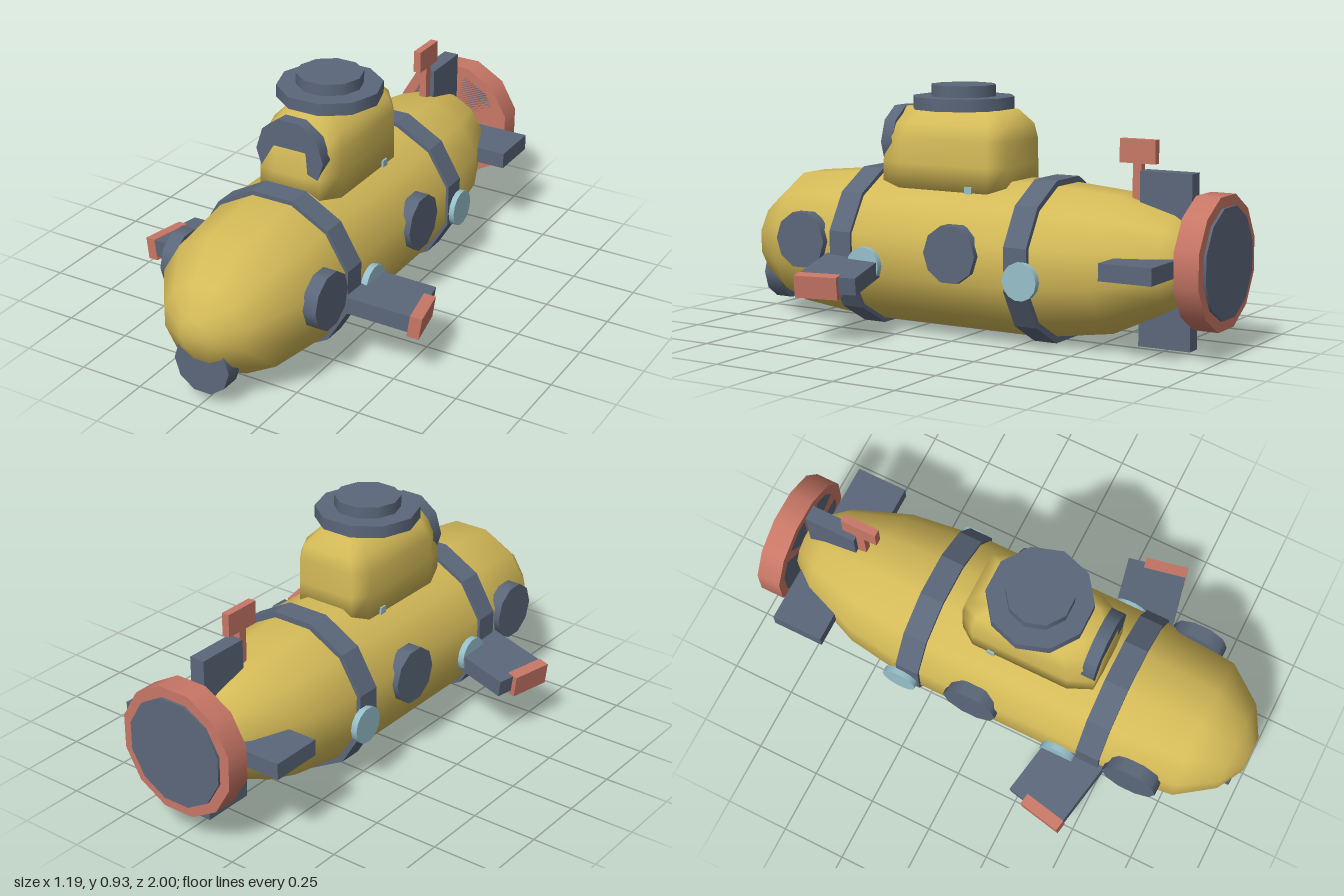
import * as THREE from 'three';

const mat = (name, color) => {
  const m = new THREE.MeshStandardMaterial({ color });
  m.name = name;
  return m;
};

// Closed smooth skin over a list of rings (each an array of [x, y, z])
function loft(rings) {
  const n = rings[0].length, pos = [], idx = [];
  for (const r of rings) for (const p of r) pos.push(...p);
  for (let i = 0; i < rings.length - 1; i++) {
    for (let j = 0; j < n; j++) {
      const a = i * n + j, b = i * n + (j + 1) % n;
      idx.push(a, b, b + n, a, b + n, a + n);
    }
  }
  [0, rings.length - 1].forEach((ri) => {
    const c = pos.length / 3;
    pos.push(...[0, 1, 2].map((k) => rings[ri].reduce((s, p) => s + p[k], 0) / n));
    for (let j = 0; j < n; j++) {
      const a = ri * n + j, b = ri * n + (j + 1) % n;
      if (ri === 0) idx.push(c, b, a); else idx.push(c, a, b);
    }
  });
  const g = new THREE.BufferGeometry();
  g.setAttribute('position', new THREE.Float32BufferAttribute(pos, 3));
  g.setIndex(idx);
  g.computeVertexNormals();
  return g;
}

export function createModel() {
  const model = new THREE.Group();
  model.name = 'submarine';
  const yellow = mat('hull yellow', 0xd4ba58);
  const grey = mat('slate grey', 0x5b677a);
  const red = mat('coral red', 0xc87766);
  const blue = mat('pale blue', 0x96bfca);

  const add = (name, geo, material, x = 0, y = 0, z = 0) => {
    const m = new THREE.Mesh(geo, material);
    m.name = name;
    m.position.set(x, y, z);
    model.add(m);
    return m;
  };
  const box = (name, material, w, h, d, x, y, z) =>
    add(name, new THREE.BoxGeometry(w, h, d), material, x, y, z);
  // Upright, sideways ('x') or forward-facing ('z') disc
  const disc = (name, material, r, t, sides, axis, x, y, z) => {
    const g = new THREE.CylinderGeometry(r, r, t, sides);
    g.rotateY(Math.PI / sides);
    if (axis === 'x') g.rotateZ(Math.PI / 2).rotateX(Math.PI / 2);
    if (axis === 'z') g.rotateX(Math.PI / 2);
    return add(name, g, material, x, y, z);
  };

  // Hull: twelve-sided sections as [z, centre y, half width, half height]
  const oval = ([z, cy, hw, hh]) => Array.from({ length: 12 }, (_, i) => {
    const a = (i + 0.5) * Math.PI / 6, k = Math.cos(Math.PI / 12);
    return [Math.cos(a) * hw / k, cy + Math.sin(a) * hh / k, z];
  });
  add('hull', loft([
    [-0.9, 0.345, 0.1, 0.095], [-0.8, 0.333, 0.18, 0.17], [-0.58, 0.312, 0.265, 0.253],
    [-0.3, 0.303, 0.302, 0.284], [0.5, 0.304, 0.302, 0.285], [0.8, 0.305, 0.267, 0.255],
    [0.94, 0.29, 0.17, 0.16], [1, 0.278, 0.066, 0.064],
  ].map(oval)), yellow);

  // Reinforcing bands
  for (const z of [0.457, -0.305]) {
    add('hullBand', loft([z - 0.047, z + 0.047].map((e) => oval([e, 0.303, 0.313, 0.302])))
      .toNonIndexed(), grey).geometry.computeVertexNormals();
  }

  // Tower: sections as [y, half width, front z, back z, front corner setback]
  add('tower', loft([
    [0.54, 0.16, 0.39, -0.158, 0.006], [0.64, 0.16, 0.39, -0.157, 0.006],
    [0.735, 0.16, 0.386, -0.155, 0.03], [0.79, 0.14, 0.36, -0.148, 0.03],
    [0.845, 0.09, 0.335, -0.1, 0.03],
  ].map(([y, w, f, b, s]) => {
    const half = [[0.4 * w, f], [0.78 * w, f - s], [w, f - 0.1], [w, b + 0.06], [0.75 * w, b]];
    return [...half.map(([x, z]) => [x, y, z]),
      ...half.reverse().map(([x, z]) => [-x, y, z])];
  })), yellow);
  disc('hatchRim', grey, 0.197, 0.047, 10, 'y', 0, 0.867, 0.1);
  disc('hatchLid', grey, 0.125, 0.045, 10, 'y', 0, 0.912, 0.1);

  // Forward windows, half sunk into the tower and the nose
  disc('towerWindow', grey, 0.14, 0.05, 10, 'z', 0, 0.712, 0.359);
  disc('noseWindow', grey, 0.113, 0.075, 10, 'z', 0, 0.153, 0.933);

  for (const s of [1, -1]) {
    // Side portholes and lamps
    for (const z of [0.635, -0.035]) {
      disc('porthole', grey, 0.11, 0.055, 10, 'x', s * 0.298, 0.338, z);
    }
    for (const z of [0.34, -0.335]) {
      disc('sideLamp', blue, 0.07, 0.025, 14, 'x', s * 0.322, 0.267, z);
    }
    box('towerLamp', blue, 0.02, 0.03, 0.03, s * 0.157, 0.553, -0.02);

    // Swept, drooping wings with red tips
    const parts = [
      box('wing', grey, 0.3, 0.065, 0.235, s * 0.4, 0.245, 0.385),
      box('wingTip', red, 0.045, 0.085, 0.17, s * 0.548, 0.218, 0.39),
    ];
    for (const p of parts) p.rotation.set(0, s * 0.2, s * -0.14);
  }

  // Tail fins
  box('tailPlane', grey, 0.7, 0.063, 0.205, 0, 0.335, -0.7625);
  box('rudder', grey, 0.06, 0.64, 0.205, 0, 0.335, -0.7625);

  // Periscope
  box('periscopePole', red, 0.028, 0.2, 0.035, 0, 0.6, -0.64);
  box('periscopeHead', red, 0.03, 0.087, 0.143, 0, 0.722, -0.641);

  // Propeller shroud and its disc
  disc('propellerShroud', red, 0.248, 0.095, 12, 'z', 0, 0.345, -0.9425);
  disc('propellerDisc', grey, 0.207, 0.105, 12, 'z', 0, 0.345, -0.9475);

  return model;
}
